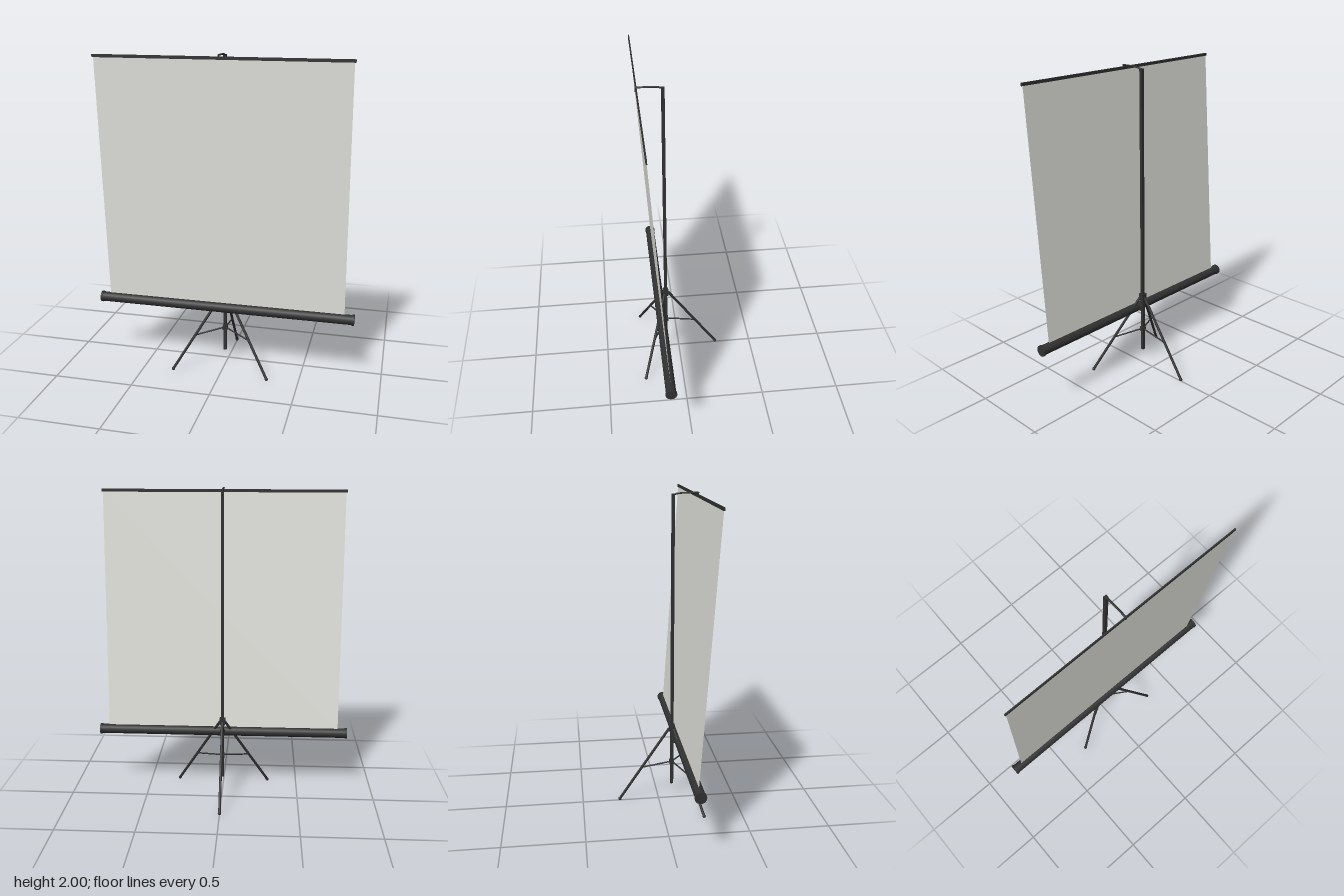
import * as THREE from 'three';

const dark = new THREE.MeshStandardMaterial({ color: 0x313132 });
dark.name = 'charcoal metal';
const fabric = new THREE.MeshStandardMaterial({ color: 0xe4e4df, side: THREE.DoubleSide });
fabric.name = 'off-white fabric';

const V = (x, y, z) => new THREE.Vector3(x, y, z);
const POLE_Z = 0.088;

export function createModel() {
  const model = new THREE.Group();
  model.name = 'projectionScreen';

  const add = (name, geometry, material = dark, parent = model) => {
    const mesh = new THREE.Mesh(geometry, material);
    mesh.name = name;
    parent.add(mesh);
    return mesh;
  };

  const box = (name, w, h, d, x, y, z) => {
    add(name, new THREE.BoxGeometry(w, h, d)).position.set(x, y, z);
  };

  // Round bar between two points
  const rod = (name, a, b, radius, parent = model, sides = 16) => {
    const dir = b.clone().sub(a);
    const mesh = add(name, new THREE.CylinderGeometry(radius, radius, dir.length(), sides), dark, parent);
    mesh.position.copy(a).add(b).multiplyScalar(0.5);
    mesh.quaternion.setFromUnitVectors(V(0, 1, 0), dir.normalize());
  };

  // Fabric sheet, leaning forward from the roller to the flat top bar
  const bottom = V(0, 0.43, 0.13), top = V(0, 1.978, 0.234);
  const sheet = add('screenFabric', new THREE.PlaneGeometry(1.52, bottom.distanceTo(top)), fabric);
  sheet.position.copy(bottom).add(top).multiplyScalar(0.5);
  sheet.rotation.x = Math.atan2(top.z - bottom.z, top.y - bottom.y);
  box('topBar', 1.536, 0.018, 0.008, 0, 1.978, 0.235);

  // Roller case with end caps
  rod('rollerCase', V(-0.81, 0.414, 0.132), V(0.81, 0.414, 0.132), 0.031, model, 20);
  for (const s of [-1, 1]) {
    rod('rollerEndCap', V(s * 0.808, 0.414, 0.132), V(s * 0.821, 0.414, 0.132), 0.035, model, 20);
  }
  box('rollerBracket', 0.03, 0.04, 0.03, 0, 0.414, 0.1);

  // Square pole and its collars
  box('pole', 0.019, 1.885, 0.019, 0, 1.0465, POLE_Z);
  box('upperHub', 0.036, 0.044, 0.036, 0, 0.498, POLE_Z);
  box('braceCollar', 0.029, 0.03, 0.029, 0, 0.259, POLE_Z);

  // Flat arm reaching forward to hook the top bar
  const arm = new THREE.CatmullRomCurve3([
    V(0, 1.982, POLE_Z), V(0, 1.99, 0.108), V(0, 1.994, 0.14), V(0, 1.995, 0.19), V(0, 1.995, 0.24),
  ]);
  const armGeometry = new THREE.TubeGeometry(arm, 24, 0.005, 10);
  armGeometry.scale(1.3, 1, 1);
  add('hangerArm', armGeometry);
  box('hangerHook', 0.011, 0.026, 0.006, 0, 1.985, 0.24);

  // Tripod legs, each with a foot and a brace
  for (const angle of [28.5, 151.5, 270]) {
    const a = THREE.MathUtils.degToRad(angle);
    const at = (r, y) => V(Math.cos(a) * r, y, POLE_Z + Math.sin(a) * r);
    const leg = new THREE.Group();
    leg.name = 'tripodLeg';
    model.add(leg);
    rod('legTube', at(0.018, 0.495), at(0.345, 0.012), 0.0085, leg);
    rod('brace', at(0.012, 0.259), at(0.2, 0.228), 0.005, leg, 10);
    add('foot', new THREE.SphereGeometry(0.011, 16, 10), dark, leg).position.copy(at(0.345, 0.011));
  }

  return model;
}
